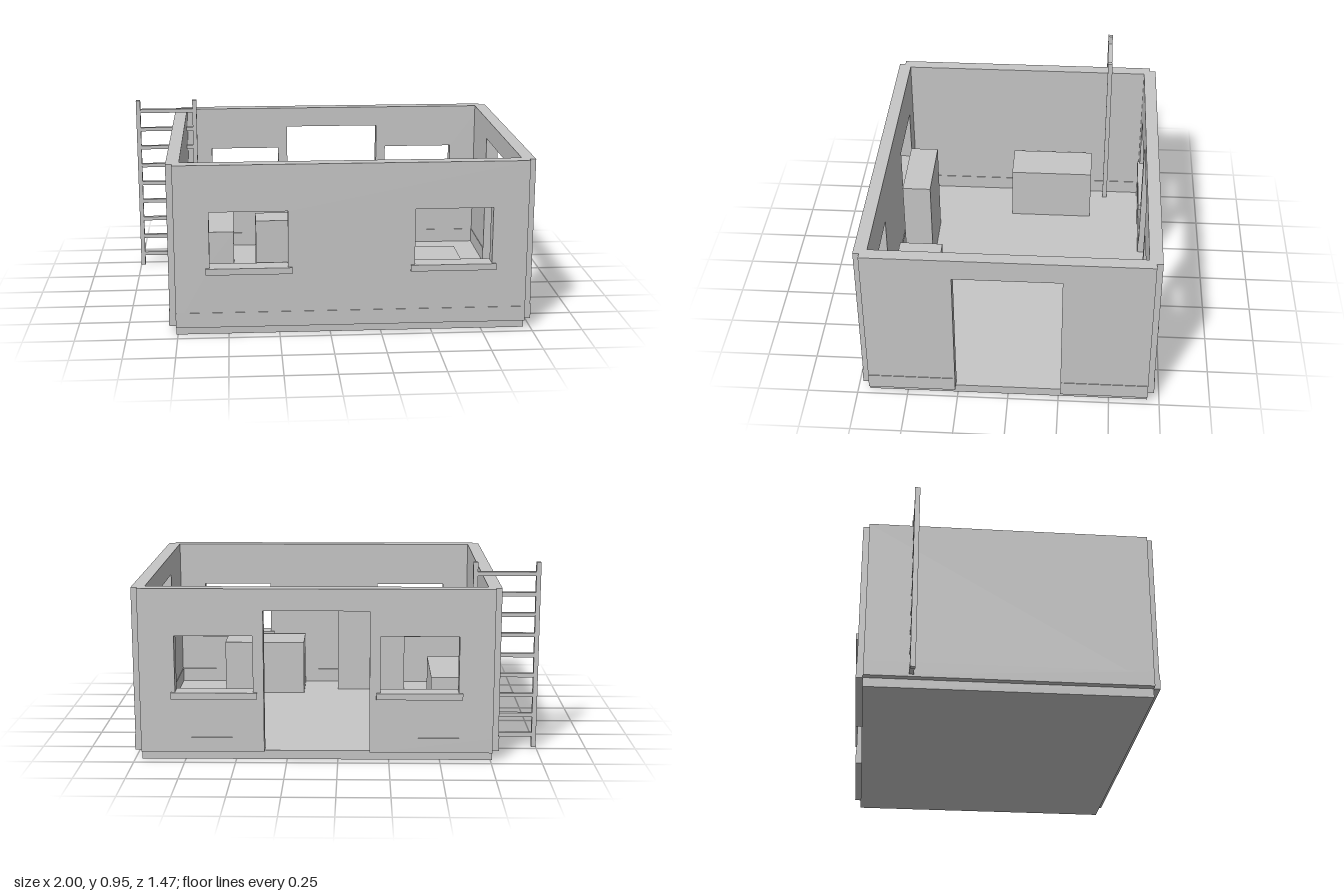
import * as THREE from 'three';

const plaster = new THREE.MeshStandardMaterial({ color: 0xc6c6c6 });
plaster.name = 'plain light grey';

const FLOOR = 0.045, TOP = 0.86, SKIRT_TOP = 0.12, THICK = 0.064;
const WINDOWS = [[-0.588, -0.207], [0.412, 0.792]];
const WINDOW_Y = [0.346, 0.628];
const DOOR_TOP = 0.752;

export function createModel() {
  const model = new THREE.Group();
  model.name = 'house';

  // Box given by its limits on each axis
  function box(name, [x0, x1], [y0, y1], [z0, z1], parent = model) {
    const mesh = new THREE.Mesh(new THREE.BoxGeometry(x1 - x0, y1 - y0, z1 - z0), plaster);
    mesh.position.set((x0 + x1) / 2, (y0 + y1) / 2, (z0 + z1) / 2);
    mesh.name = name;
    parent.add(mesh);
  }

  // Upright wall in its own xy plane, with window holes and an optional doorway,
  // plus a slightly thicker skirting on both faces
  function wall(name, [a, b], windows, door) {
    const group = new THREE.Group();
    group.name = name;
    const outline = [[a, FLOOR]];
    if (door) outline.push([door[0], FLOOR], [door[0], DOOR_TOP], [door[1], DOOR_TOP], [door[1], FLOOR]);
    outline.push([b, FLOOR], [b, TOP], [a, TOP]);
    const shape = new THREE.Shape(outline.map(p => new THREE.Vector2(...p)));
    for (const [l, r] of windows) {
      const [lo, hi] = WINDOW_Y;
      shape.holes.push(new THREE.Path([[l, lo], [l, hi], [r, hi], [r, lo]].map(p => new THREE.Vector2(...p))));
      // Sill projecting inside and outside
      box('windowSill', [l - 0.02, r + 0.02], [0.315, lo + 0.001], [-0.045, 0.045], group);
    }
    const geometry = new THREE.ExtrudeGeometry(shape, { depth: THICK, bevelEnabled: false });
    geometry.translate(0, 0, -THICK / 2);
    const panel = new THREE.Mesh(geometry, plaster);
    panel.name = name + 'Panel';
    group.add(panel);
    const runs = door ? [[a, door[0]], [door[1], b]] : [[a, b]];
    const half = THICK / 2 + 0.003;
    for (const run of runs) box('skirting', run, [FLOOR, SKIRT_TOP], [-half, half], group);
    model.add(group);
    return group;
  }

  // Floor slab
  box('floorSlab', [-0.758, 0.965], [0, FLOOR], [-0.69, 0.69]);

  // Walls, meeting at notched corners
  wall('frontWall', [-0.758, 0.965], WINDOWS).position.z = 0.688;
  wall('backWall', [-0.758, 0.965], WINDOWS, [-0.155, 0.36]).position.z = -0.688;
  const left = wall('leftWall', [-0.69, 0.69], [], [-0.26, 0.26]);
  left.rotation.y = Math.PI / 2;
  left.position.x = 0.965;
  const right = wall('rightWall', [-0.69, 0.69], []);
  right.rotation.y = Math.PI / 2;
  right.position.x = -0.757;

  // Plain block furniture
  box('bench', [-0.693, -0.471], [FLOOR, 0.338], [-0.38, 0.068]);
  box('cupboard', [-0.361, 0.019], [FLOOR, 0.554], [0.475, 0.622]);
  box('chest', [0.21, 0.655], [FLOOR, 0.338], [0.397, 0.622]);

  // Ladder straddling the right wall
  const ladder = new THREE.Group();
  ladder.name = 'ladder';
  const depth = [-0.477, -0.452];
  box('ladderRail', [-1, -0.977], [0, 0.95], depth, ladder);
  box('ladderRail', [-0.689, -0.666], [0, 0.95], depth, ladder);
  for (let i = 0; i < 9; i++) {
    const y = 0.066 + i * 0.1032;
    box('ladderRung', [-0.98, -0.686], [y - 0.01, y + 0.01], [-0.476, -0.453], ladder);
  }
  model.add(ladder);

  return model;
}
